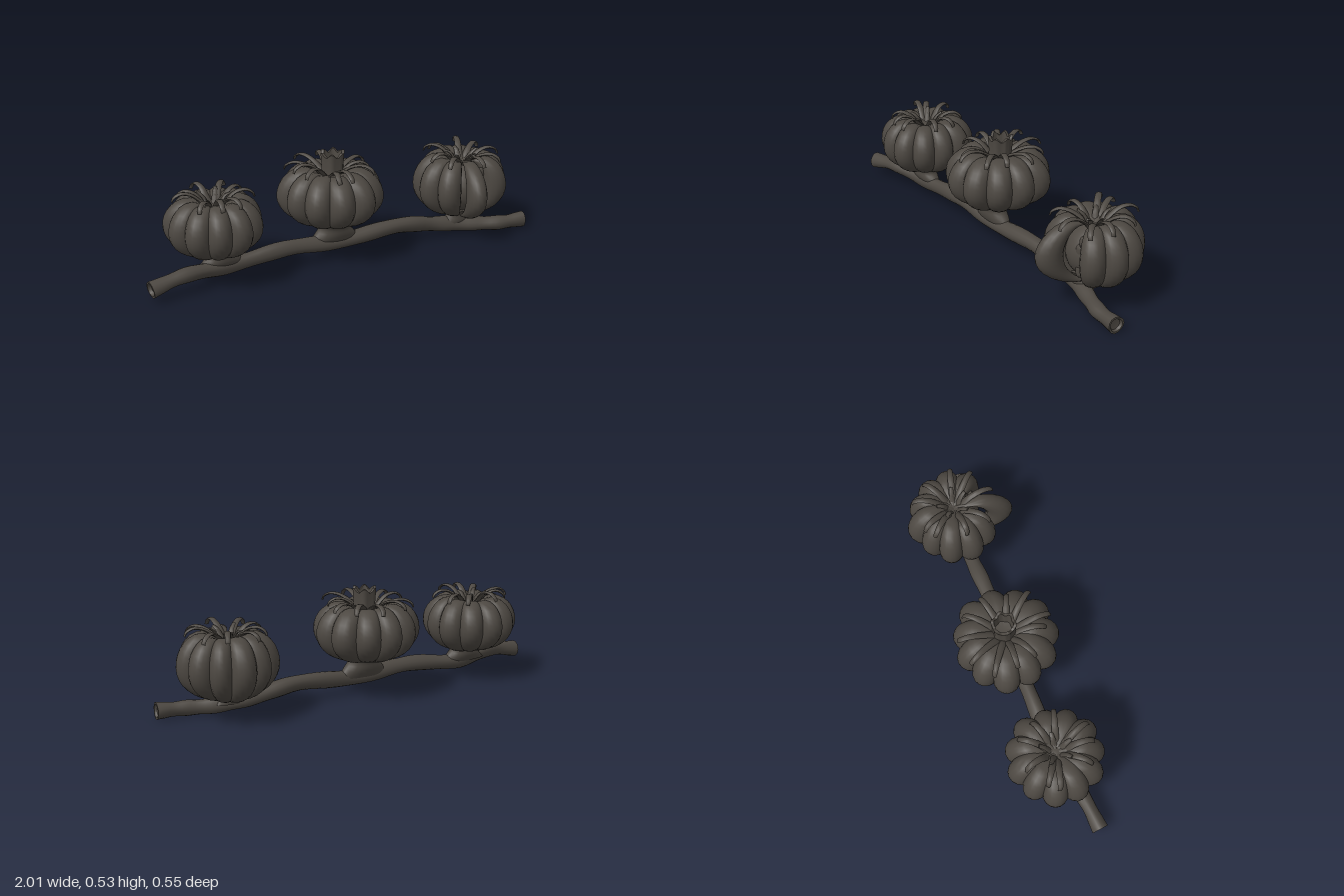
import * as THREE from 'three';
import { toCreasedNormals } from 'three/addons/utils/BufferGeometryUtils.js';

const bark = new THREE.MeshStandardMaterial({ color: 0x4d4842 });
bark.name = 'dark bark';

let seed = 7;
const rand = (a, b) => {
  seed = (seed * 16807) % 2147483647;
  return a + (b - a) * (seed / 2147483647);
};
const V = (x, y, z) => new THREE.Vector3(x, y, z);

function add(parent, name, geometry) {
  const mesh = new THREE.Mesh(toCreasedNormals(geometry, 0.9), bark);
  mesh.name = name;
  parent.add(mesh);
  return mesh;
}

// Sweep oval rings along a curve; rows are [t, width radius, thickness radius]
function sweep(curve, rows, ref, sides = 8, wobble = 0) {
  const pos = [], index = [];
  rows.forEach(([t, w, h], i) => {
    const p = curve.getPoint(t), T = curve.getTangent(t);
    const N = ref.clone().addScaledVector(T, -ref.dot(T)).normalize();
    const B = T.clone().cross(N);
    for (let j = 0; j < sides; j++) {
      const a = (j / sides) * Math.PI * 2;
      const k = 1 + wobble * Math.sin(3 * a + t * 17);
      const q = p.clone().addScaledVector(N, Math.cos(a) * w * k).addScaledVector(B, Math.sin(a) * h * k);
      pos.push(q.x, q.y, q.z);
      if (i < rows.length - 1) {
        const b = i * sides + j, c = i * sides + (j + 1) % sides;
        index.push(b, c, b + sides, c, c + sides, b + sides);
      }
    }
  });
  const g = new THREE.BufferGeometry();
  g.setAttribute('position', new THREE.Float32BufferAttribute(pos, 3));
  g.setIndex(index);
  g.computeVertexNormals();
  return g;
}

// One crescent segment running from the bottom pole to the dimpled top
function lobeGeometry(R, H, n, angle, wide, out) {
  const rows = 18, around = 16;
  const g = new THREE.SphereGeometry(1, around, rows);
  const p = g.attributes.position;
  for (let i = 0; i < p.count; i++) {
    const phi = Math.floor(i / (around + 1)) / rows * Math.PI;
    const b = (i % (around + 1)) / around * Math.PI * 2;
    const sin = Math.max(Math.sin(phi), 0);
    const s = Math.pow(sin, phi < Math.PI / 2 ? 0.66 : 0.85) * R;
    const r = s * (0.72 + 0.28 * Math.cos(b)) + (out - 1) * R * sin * sin;
    const t = s * Math.sin(Math.PI / n) * wide * Math.sin(b);
    let y = H * Math.cos(phi);
    if (phi < Math.PI / 2) y -= 0.06 * Math.exp(-Math.pow(r / (0.35 * R), 2));
    p.setXYZ(i, Math.cos(angle) * r + Math.sin(angle) * t, y, Math.sin(angle) * r - Math.cos(angle) * t);
  }
  g.computeVertexNormals();
  return g;
}

// Curling leaf, given as [radius, height] points in a vertical plane
function sepal(parent, name, angle, points, w) {
  const c = Math.cos(angle), s = Math.sin(angle);
  const bend = rand(-0.03, 0.03);
  const curve = new THREE.CatmullRomCurve3(points.map(([r, y], i) => {
    const side = bend * i / points.length;
    return V(c * r - s * side, y, s * r + c * side);
  }));
  const rows = [[0, 0, 0]];
  for (let i = 0; i <= 14; i++) {
    const t = i / 14, k = 1 - 0.5 * t;
    rows.push([t, w * k, w * 0.45 * k]);
  }
  rows.push([1, 0, 0]);
  add(parent, name, sweep(curve, rows, V(-s, 0, c), 8));
}

function fruit(root, o) {
  const group = new THREE.Group();
  group.name = o.name;
  group.position.set(o.x, o.y, o.z);
  root.add(group);
  const n = 11;
  for (let k = 0; k < n; k++) {
    const angle = o.turn + k / n * Math.PI * 2;
    const scale = rand(0.96, 1.03);
    let wide = 0.9, out = 1, shift = 0;
    if (o.open) {
      if (k === 0) continue;
      if (k === 1) [wide, out, shift] = [0.72, 1.23, 0.12];
      if (k === 7) [wide, out] = [0.8, 0.94];
    }
    add(group, out > 1 ? 'peeledSegment' : 'segment',
      lobeGeometry(o.R * scale, o.H * rand(0.97, 1.02), n, angle - shift, wide, out));
  }
  // Heart of the fruit, seen through grooves and the open segment
  const core = add(group, 'core', new THREE.SphereGeometry(1, 20, 14));
  core.scale.set(o.R * 0.55, o.H * 0.78, o.R * 0.55);
  core.position.y = -0.02;
  if (o.open) {
    for (let i = 0; i < 4; i++) {
      const pulp = add(group, 'pulp', new THREE.SphereGeometry(0.026, 10, 8));
      pulp.scale.set(0.8, 1.3, 0.6);
      pulp.position.set(0.03 + (i % 2) * 0.022, -0.08 + i * 0.05, 0.108);
    }
  }
  // Curling leaves over the shoulders
  const top = o.H;
  for (let k = 0; k < o.leaves; k++) {
    const a = o.turn + 0.3 + (k + rand(-0.25, 0.25)) / o.leaves * Math.PI * 2;
    const reach = o.R * rand(0.66, 0.86), lift = rand(-0.008, 0.01);
    sepal(group, 'curledLeaf', a, [
      [0.025, top - 0.08], [0.05, top - 0.045], [reach * 0.55, top - 0.004 + lift],
      [reach * 0.82, top + 0.006 + lift], [reach, top - 0.012 + lift], [reach * 1.04, top - 0.03 + lift],
    ], 0.02);
  }
  // Short upright leaves round the middle
  for (let k = 0; k < o.innerLeaves; k++) {
    sepal(group, 'innerLeaf', k / o.innerLeaves * Math.PI * 2 + o.turn, [
      [0.015, top - 0.08], [0.035, top - 0.045], [0.055, top - 0.015], [0.08, top + rand(-0.015, 0.01)],
    ], 0.018);
  }
  return group;
}

// Stalk that is as narrow as the branch at its foot and rounder under the fruit
function stalkGeometry(r, h) {
  const profile = new THREE.SplineCurve([[r * 1.15, 0], [r * 0.88, h * 0.35], [r * 0.64, h * 0.68], [r * 0.74, h]]
    .map(([a, b]) => new THREE.Vector2(a, b))).getPoints(10);
  const g = new THREE.LatheGeometry([new THREE.Vector2(0, 0), ...profile, new THREE.Vector2(0, h)], 20);
  const p = g.attributes.position;
  for (let i = 0; i < p.count; i++) {
    const k = Math.min(1, p.getY(i) / h);
    const foot = 0.034 / (r * 1.15);
    p.setZ(i, p.getZ(i) * (foot + (0.9 - foot) * k));
  }
  g.computeVertexNormals();
  return g;
}

export function createModel() {
  const root = new THREE.Group();
  root.name = 'fruitingBranch';

  // Wavy branch with flared, hollowed ends
  const path = new THREE.CatmullRomCurve3([
    V(-1, 0.066, 0.075), V(-0.83, 0.092, 0.055), V(-0.6, 0.074, 0.01), V(-0.3, 0.102, 0.01), V(0, 0.081, 0.01),
    V(0.33, 0.1, 0.01), V(0.55, 0.066, 0.01), V(0.72, 0.046, 0.045), V(0.87, 0.042, 0.095), V(1, 0.044, 0.108),
  ]);
  const rows = [[0.012, 0, 0], [0.01, 0.026, 0.026], [0, 0.032, 0.032]];
  for (let i = 0; i <= 60; i++) {
    const t = i / 60;
    const flare = 0.007 * (Math.exp(-t * 50) + Math.exp(-(1 - t) * 50));
    const r = 0.034 + flare + 0.005 * Math.sin(t * Math.PI) + 0.002 * Math.sin(i * 1.1);
    rows.push([t, r, r]);
  }
  rows.push([1, 0.032, 0.032], [0.99, 0.026, 0.026], [0.988, 0, 0]);
  add(root, 'branch', sweep(path, rows, V(0, 0, 1), 14, 0.04));

  // Three ribbed fruits
  fruit(root, { name: 'leftmostFruit', x: -0.643, y: 0.288, z: -0.018, R: 0.237, H: 0.148, turn: 0.1, leaves: 9, innerLeaves: 5 });
  const middle = fruit(root, { name: 'middleFruit', x: -0.035, y: 0.325, z: -0.03, R: 0.259, H: 0.152, turn: 0.05, leaves: 11, innerLeaves: 0 });
  fruit(root, { name: 'openFruit', x: 0.693, y: 0.26, z: -0.018, R: 0.238, H: 0.168, turn: 1.3, leaves: 9, innerLeaves: 5, open: true });

  // Hollow jagged crown on the middle fruit
  const crown = new THREE.LatheGeometry([[0.055, 0], [0.053, 0.05], [0.058, 0.11], [0.044, 0.11], [0.038, 0.04], [0, 0.035]]
    .map(([r, y]) => new THREE.Vector2(r, y)), 48);
  const p = crown.attributes.position;
  for (let i = 0; i < p.count; i++) {
    const a = Math.atan2(p.getZ(i), p.getX(i)), k = 1 + 0.06 * Math.cos(6 * a);
    const y = p.getY(i);
    p.setXYZ(i, p.getX(i) * k, y > 0.1 ? y + 0.01 * Math.cos(6 * a) : y, p.getZ(i) * k);
  }
  crown.computeVertexNormals();
  add(middle, 'crown', crown).position.set(0.012, 0.092, -0.003);

  // Stalks that swell smoothly out of the branch
  for (const [x, y, z, h, r] of [
    [-0.625, 0.08, 0.005, 0.09, 0.11], [-0.035, 0.085, 0.003, 0.12, 0.125], [0.65, 0.055, 0.02, 0.08, 0.08],
  ]) add(root, 'stalk', stalkGeometry(r, h)).position.set(x, y, z);
  return root;
}
